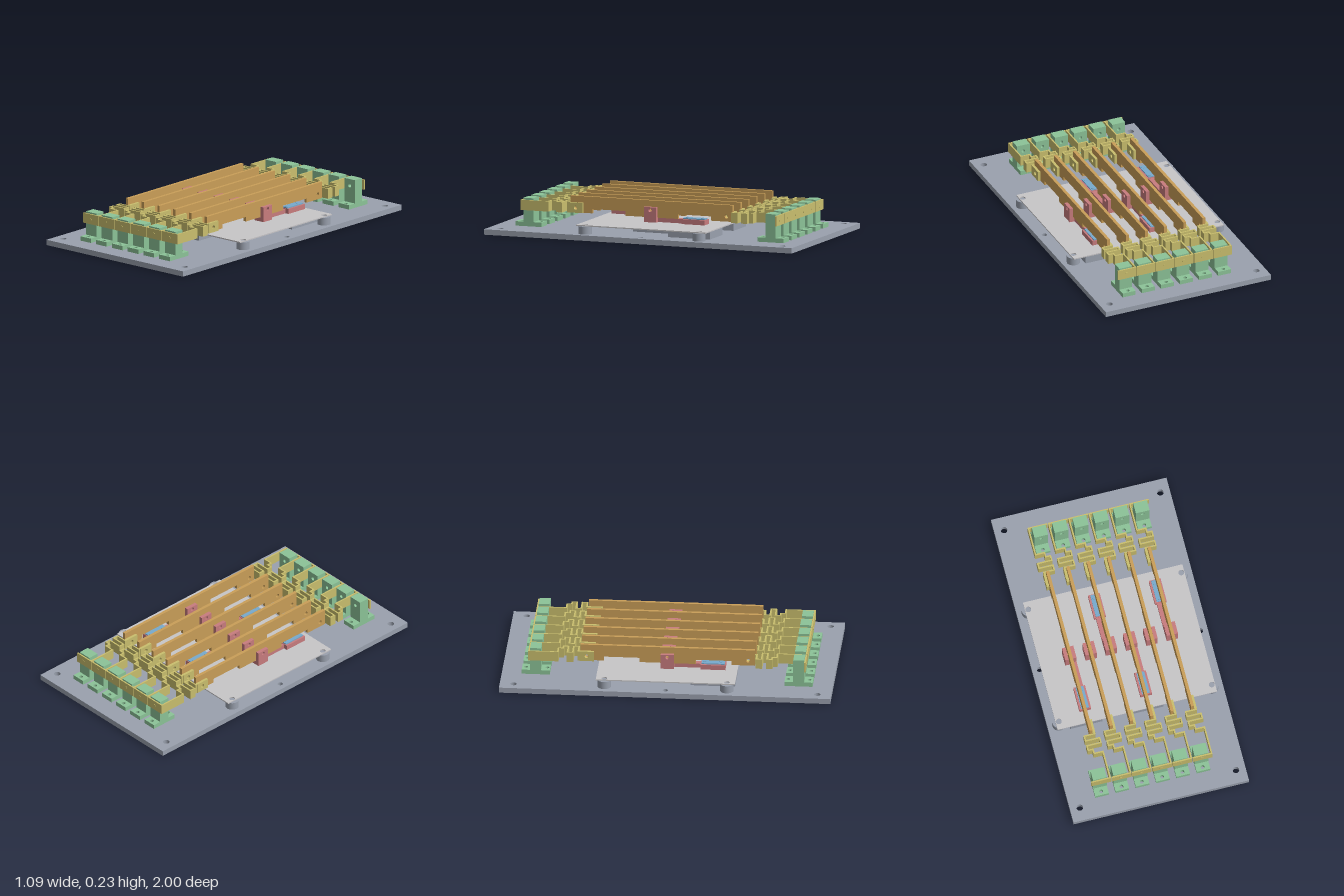
import * as THREE from 'three';

const mat = (name, color) => {
  const m = new THREE.MeshStandardMaterial({ color });
  m.name = name;
  return m;
};

export function createModel() {
  const steel = mat('blue grey base', 0x9aa1ae);
  const clear = mat('pale grey cover', 0xc8c6c8);
  const green = mat('green insulator', 0x8cc398);
  const brass = mat('brass spring', 0xcabf6e);
  const copper = mat('copper bar', 0xca9f58);
  const red = mat('red armature', 0xc87c7e);
  const blue = mat('blue pad', 0x78aacd);

  const root = new THREE.Group();
  root.name = 'contactBoard';

  const add = (parent, name, geo, material, x = 0, y = 0, z = 0) => {
    const m = new THREE.Mesh(geo, material);
    m.name = name;
    m.position.set(x, y, z);
    parent.add(m);
    return m;
  };
  const block = (parent, name, material, x0, x1, y0, y1, z0, z1) =>
    add(parent, name, new THREE.BoxGeometry(x1 - x0, y1 - y0, z1 - z0), material,
      (x0 + x1) / 2, (y0 + y1) / 2, (z0 + z1) / 2);
  const polygon = pts => new THREE.Shape(pts.map(p => new THREE.Vector2(...p)));
  const rect = (x0, x1, y0, y1) => polygon([[x0, y0], [x1, y0], [x1, y1], [x0, y1]]);
  const hole = (shape, x, y, r) =>
    shape.holes.push(new THREE.Path().absarc(x, y, r, 0, Math.PI * 2, true));
  const extrude = (shape, depth) =>
    new THREE.ExtrudeGeometry(shape, { depth, bevelEnabled: false, curveSegments: 10 });
  // Shape drawn in (x, -z), thickness upward
  const flat = (shape, t) => extrude(shape, t).rotateX(-Math.PI / 2);
  // Shape drawn in (-z, y), thickness centred on x
  const upright = (shape, t) => extrude(shape, t).translate(0, 0, -t / 2).rotateY(Math.PI / 2);

  const barX = i => (i - 2.5) * 0.126;
  const rowZ = [0.28, 0, -0.28, 0.28, 0, -0.28];

  // Base plate with mounting holes and pairs of slots
  const base = rect(-0.545, 0.545, -1, 1);
  for (const sx of [-1, 1]) {
    for (const sz of [-1, 1]) hole(base, sx * 0.485, sz * 0.917, 0.02);
    hole(base, sx * 0.5, 0, 0.016);
  }
  rowZ.forEach((z, i) => {
    for (const s of [-1, 1]) {
      base.holes.push(rect(barX(i) + s * 0.072 - 0.021, barX(i) + s * 0.072 + 0.021,
        -z - 0.06, -z + 0.06));
      hole(base, barX(i) + s * 0.072, -z - s * 0.085, 0.01);
    }
  });
  add(root, 'basePlate', flat(base, 0.033), steel);

  // Cover plate on four standoffs
  const cover = rect(-0.495, 0.495, -0.42, 0.42);
  for (const sx of [-1, 1]) for (const sz of [-1, 1]) {
    hole(cover, sx * 0.475, sz * 0.37, 0.018);
    add(root, 'standoff', new THREE.CylinderGeometry(0.04, 0.04, 0.047, 32), steel,
      sx * 0.475, 0.0565, sz * 0.37);
  }
  add(root, 'coverPlate', flat(cover, 0.007), clear, 0, 0.08, 0);

  // Coil boxes hidden under the cover
  rowZ.forEach((z, i) => block(root, 'coilBox', steel, barX(i) - 0.1, barX(i) + 0.1,
    0.033, 0.079, z - 0.135, z + 0.135));

  // Copper bar profile
  const barShape = polygon([[-0.527, 0.134], [-0.385, 0.134], [-0.385, 0.16], [-0.17, 0.16],
    [-0.17, 0.132], [0.17, 0.132], [0.17, 0.16], [0.385, 0.16], [0.385, 0.134],
    [0.527, 0.134], [0.527, 0.235], [-0.527, 0.235]]);
  for (const z of [-0.487, 0.487]) hole(barShape, z, 0.165, 0.012);
  hole(barShape, 0, 0.179, 0.011);
  const barGeo = upright(barShape, 0.019);

  const cheek = rect(-0.04, 0.04, 0.105, 0.197);
  hole(cheek, 0, 0.179, 0.011);
  const cheekGeo = upright(cheek, 0.022);

  // Green post: foot with two screw holes and a bored pillar
  const foot = rect(-0.0425, 0.0425, -0.88, -0.71);
  for (const z of [-0.728, -0.858]) hole(foot, 0, z, 0.012);
  const footGeo = flat(foot, 0.027);
  const pillar = rect(-0.0425, 0.0425, 0.06, 0.205);
  hole(pillar, 0, 0.164, 0.011);
  const pillarGeo = extrude(pillar, 0.066);

  // Meandering strip, as x offset and z
  const path = [[-0.073, 0.834], [0.04, 0.834], [0.04, 0.66], [-0.015, 0.66], [-0.015, 0.632],
    [-0.045, 0.632], [-0.045, 0.602], [0.042, 0.602], [0.042, 0.57], [-0.045, 0.57],
    [-0.045, 0.538], [0.02, 0.538], [0.02, 0.52]];

  const contact = () => {
    const g = new THREE.Group();
    g.name = 'contactEnd';
    add(g, 'postFoot', footGeo, green, -0.022, 0.033, 0);
    add(g, 'postPillar', pillarGeo, green, -0.022, 0, 0.763);
    const h = 0.0045;
    for (let i = 1; i < path.length; i++) {
      const [a, b] = [path[i - 1], path[i]];
      block(g, 'springStrip', brass, Math.min(a[0], b[0]) - h, Math.max(a[0], b[0]) + h,
        0.134, 0.196, Math.min(a[1], b[1]) - h, Math.max(a[1], b[1]) + h);
    }
    const screw = new THREE.CylinderGeometry(0.01, 0.01, 0.003, 20).rotateX(Math.PI / 2);
    add(g, 'stripScrew', screw, brass, -0.022, 0.164, 0.839);
    const tab = rect(-0.53, -0.443, 0.134, 0.196);
    hole(tab, -0.487, 0.165, 0.012);
    add(g, 'contactTab', upright(tab, 0.016), brass, 0.018, 0, 0);
    return g;
  };

  // Armature: clevis, and an arm ending in a pad when it reaches sideways
  const armature = reach => {
    const g = new THREE.Group();
    g.name = 'armature';
    for (const s of [-1, 1]) add(g, 'clevisCheek', cheekGeo, red, s * 0.024, 0, 0);
    block(g, 'clevisBase', red, -0.035, 0.035, 0.105, 0.13, -0.04, 0.04);
    if (reach) {
      block(g, 'arm', red, -0.002, 0.035, 0.105, 0.131, 0.04, 0.2);
      block(g, 'armPad', red, -0.026, 0.046, 0.105, 0.135, 0.2, 0.35);
      block(g, 'bluePad', blue, -0.014, 0.034, 0.135, 0.141, 0.205, 0.345);
      for (const z of [0.225, 0.322]) {
        add(g, 'padRivet', new THREE.CylinderGeometry(0.01, 0.01, 0.003, 16), blue, 0.017, 0.142, z);
      }
    }
    return g;
  };

  // Six repeated lines; the back end is the front end turned half round
  rowZ.forEach((z, i) => {
    const line = new THREE.Group();
    line.name = 'contactLine';
    line.position.x = barX(i);
    add(line, 'copperBar', barGeo, copper);
    const front = contact();
    const back = contact();
    back.rotation.y = Math.PI;
    const arm = armature(z !== 0);
    if (z < 0) arm.rotation.y = Math.PI;
    line.add(front, back, arm);
    root.add(line);
  });

  return root;
}
